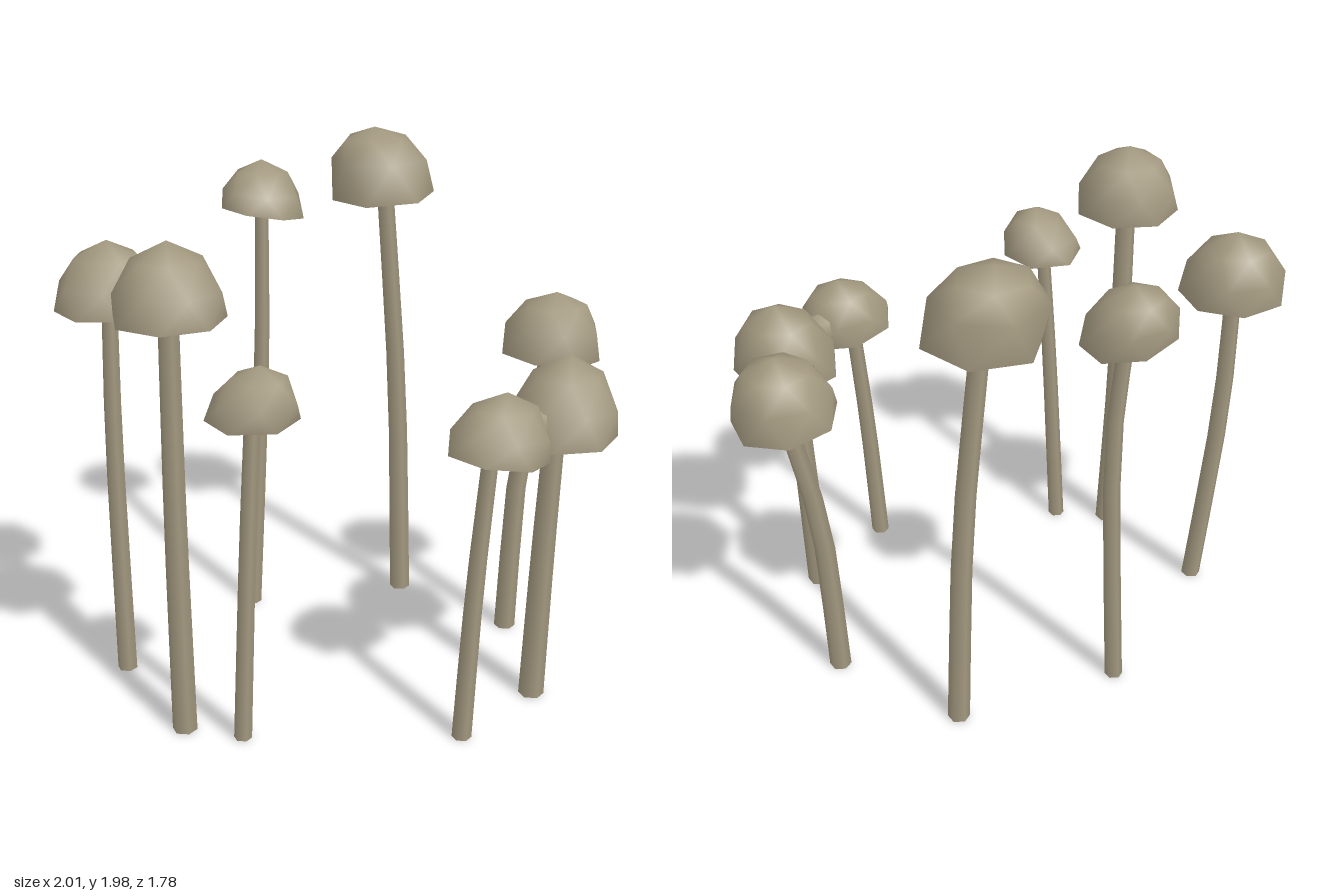
import * as THREE from 'three';

const mushroomSkin = new THREE.MeshStandardMaterial({ color: 0xa2987f });
mushroomSkin.name = 'mushroomBeige';

function part(name, geometry) {
  const mesh = new THREE.Mesh(geometry, mushroomSkin);
  mesh.name = name;
  return mesh;
}

// Six-sided stalk whose rings follow a gently bent path
function stalkGeometry(path, radius) {
  const curve = new THREE.CatmullRomCurve3(path.map(p => new THREE.Vector3(...p)));
  const geo = new THREE.CylinderGeometry(radius * 0.8, radius, 1, 6, 5);
  const pos = geo.attributes.position;
  for (let i = 0; i < pos.count; i++) {
    const p = curve.getPoint(THREE.MathUtils.clamp(pos.getY(i) + 0.5, 0, 1));
    pos.setXYZ(i, pos.getX(i) + p.x, p.y, pos.getZ(i) + p.z);
  }
  return geo;
}

// Rings of corners closed by one tip; the order of corners sets the facing
function closedRings(rings, tip, flip) {
  const n = rings[0].length, index = [];
  const corners = [...rings.flat(), tip];
  const tri = (a, b, c) => index.push(...(flip ? [a, c, b] : [a, b, c]));
  rings.forEach((ring, k) => {
    for (let i = 0; i < n; i++) {
      const a = k * n + i, b = k * n + (i + 1) % n;
      if (k === rings.length - 1) tri(a, corners.length - 1, b);
      else { tri(a, a + n, b); tri(b, a + n, b + n); }
    }
  });
  const geo = new THREE.BufferGeometry();
  geo.setAttribute('position', new THREE.Float32BufferAttribute(corners.flat(), 3));
  geo.setIndex(index);
  geo.computeVertexNormals();
  return geo;
}

// Faceted dome with a leaning tip, and its hollow underside
function makeCap({ centre, size, rim, top, tip, sides = 7, phase, slope = 0, full = 0.38 }) {
  const height = top - rim;
  const ring = (r, h, turn, drop = 0) => Array.from({ length: sides }, (_, i) => {
    const a = THREE.MathUtils.degToRad(phase) + (i + turn) * Math.PI * 2 / sides;
    const dx = Math.cos(a) * size[0] * r, dz = Math.sin(a) * size[1] * r;
    return [
      centre[0] + dx + (tip[0] - centre[0]) * h,
      rim + height * h + slope * dx * (1 - h) + drop,
      centre[1] + dz + (tip[1] - centre[1]) * h,
    ];
  });
  const edge = ring(1, 0, 0);
  const dome = [edge, ring(0.94, full, 0.4), ring(0.62, 0.58 + 0.5 * full, 0.8)];
  const hollow = [edge, ring(0.85, 0, 0, 0.005)];
  const cap = new THREE.Group();
  cap.name = 'cap';
  cap.add(part('capDome', closedRings(dome, [tip[0], top, tip[1]], false)));
  cap.add(part('capUnderside', closedRings(hollow, [centre[0], rim + 0.03, centre[1]], true)));
  return cap;
}

function makeMushroom(name, path, radius, cap) {
  const group = new THREE.Group();
  group.name = name;
  group.add(part('stalk', stalkGeometry(path, radius)), makeCap(cap));
  return group;
}

// Pinched web that joins two neighbouring caps
function capBridge(from, to) {
  const a = new THREE.Vector3(...from), b = new THREE.Vector3(...to);
  const length = a.distanceTo(b);
  const geo = new THREE.CylinderGeometry(0.11, 0.11, length, 8, 6, true);
  const pos = geo.attributes.position;
  for (let i = 0; i < pos.count; i++) {
    const t = pos.getY(i) / length * 2;
    const s = 0.62 + 0.38 * t * t;
    pos.setX(i, pos.getX(i) * s);
    pos.setZ(i, pos.getZ(i) * (0.62 + 0.1 * t * t));
  }
  geo.computeVertexNormals();
  geo.rotateX(Math.PI / 2);
  const mesh = part('capBridge', geo);
  mesh.position.copy(a).add(b).multiplyScalar(0.5);
  mesh.lookAt(b);
  return mesh;
}

export function createModel() {
  const model = new THREE.Group();
  model.name = 'mushroomRing';
  model.add(
    makeMushroom('backRightMushroom',
      [[-0.85, 0.01, -0.24], [-0.82, 0.95, -0.37], [-0.80, 1.47, -0.40]], 0.038,
      { centre: [-0.81, -0.38], size: [0.20, 0.195], rim: 1.435, top: 1.69, tip: [-0.8, -0.4], phase: 90 }),
    makeMushroom('sideRightMushroom',
      [[-0.78, 0.01, 0.28], [-0.77, 0.8, 0.235], [-0.76, 1.58, 0.22]], 0.046,
      { centre: [-0.76, 0.22], size: [0.20, 0.205], rim: 1.555, top: 1.82, tip: [-0.75, 0.2], phase: -90 }),
    makeMushroom('smallMushroom',
      [[-0.605, 0.01, 0.42], [-0.59, 0.8, 0.48], [-0.58, 1.3, 0.53]], 0.033,
      { centre: [-0.58, 0.53], size: [0.16, 0.16], rim: 1.275, top: 1.47, tip: [-0.56, 0.56], sides: 6, phase: 80 }),
    makeMushroom('backMushroom',
      [[-0.2, 0.01, -0.58], [-0.135, 1.1, -0.59], [-0.075, 1.68, -0.72]], 0.034,
      { centre: [-0.065, -0.74], size: [0.17, 0.155], rim: 1.655, top: 1.86, tip: [-0.05, -0.78], phase: 285, slope: -0.17 }),
    makeMushroom('tallMushroom',
      [[0.435, 0.01, -0.46], [0.43, 0.9, -0.5], [0.415, 1.73, -0.6]], 0.042,
      { centre: [0.405, -0.595], size: [0.21, 0.205], rim: 1.71, top: 1.985, tip: [0.38, -0.63], sides: 6, phase: 13, slope: 0.05, full: 0.54 }),
    makeMushroom('frontMushroom',
      [[0.125, 0.01, 0.73], [0.17, 0.6, 0.715], [0.22, 1.11, 0.71]], 0.036,
      { centre: [0.24, 0.715], size: [0.19, 0.17], rim: 1.085, top: 1.305, tip: [0.28, 0.7], phase: 180, slope: -0.15 }),
    makeMushroom('frontLeftMushroom',
      [[0.51, 0.01, 0.56], [0.54, 0.6, 0.55], [0.56, 1.1, 0.56]], 0.048,
      { centre: [0.57, 0.58], size: [0.205, 0.21], rim: 1.065, top: 1.355, tip: [0.61, 0.56], phase: -77 }),
    makeMushroom('sideLeftMushroom',
      [[0.68, 0.01, 0.04], [0.735, 0.75, 0.025], [0.82, 1.23, 0.09]], 0.042,
      { centre: [0.81, 0.08], size: [0.195, 0.195], rim: 1.185, top: 1.435, tip: [0.83, 0.085], phase: 240, slope: -0.1, full: 0.46 }),
    capBridge([0.3, 1.14, 0.69], [0.52, 1.14, 0.6]),
  );
  return model;
}
